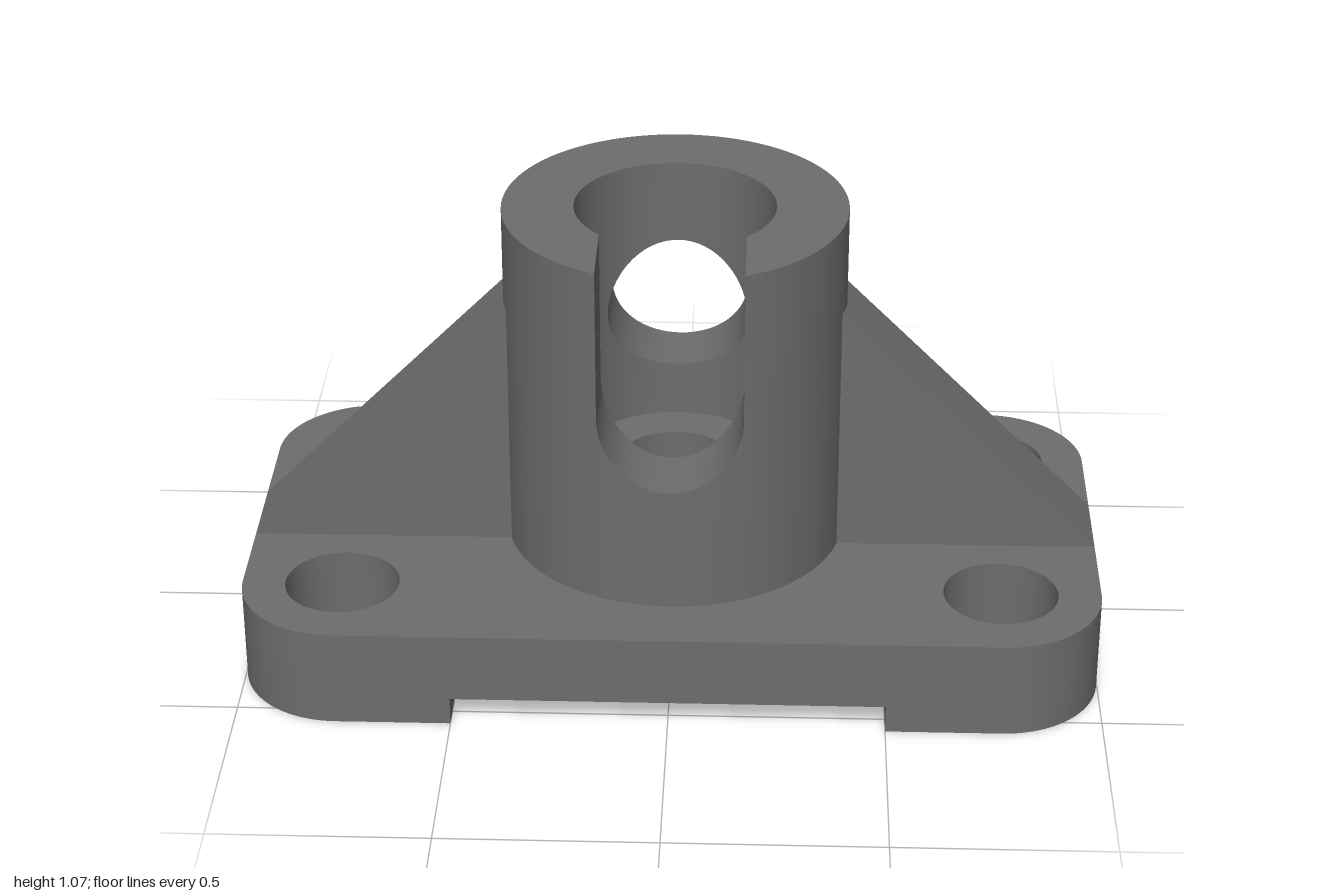
import * as THREE from 'three';
import { toCreasedNormals } from 'three/addons/utils/BufferGeometryUtils.js';

const UNIT = 1 / 60; // dimensions below are in millimetre-like steps
const BASE_TOP = 14, CHANNEL = 4, FLOOR = 24, TOP = 64;
const R_OUT = 24, R_IN = 14, R_BOLT = 8;
const CROSS_Y = 42, CROSS_R = 10;
const STEPS = 32;

export function createModel() {
  const root = new THREE.Group();
  root.name = 'shaftSupportBracket';
  const material = new THREE.MeshStandardMaterial({ color: 0x6d6d6d });

  const add = (name, geometry) => {
    geometry.scale(UNIT, UNIT, UNIT);
    const mesh = new THREE.Mesh(toCreasedNormals(geometry, 0.5), material);
    mesh.name = name;
    root.add(mesh);
  };
  const hole = (x, y) => new THREE.Path().absarc(x, y, R_BOLT, 0, Math.PI * 2, true);
  // Extrude a plan shape upwards between two heights
  const slab = (shape, y0, y1) => new THREE.ExtrudeGeometry(shape, {
    depth: y1 - y0, bevelEnabled: false, curveSegments: 24,
  }).rotateX(-Math.PI / 2).translate(0, y0, 0);

  // Base: two rounded feet with bolt holes, and a raised middle over the channel
  for (const side of [1, -1]) {
    const foot = new THREE.Shape();
    foot.moveTo(30, -33);
    foot.lineTo(46, -33);
    foot.absarc(46, -19, 14, -Math.PI / 2, 0, false);
    foot.lineTo(60, 19);
    foot.absarc(46, 19, 14, 0, Math.PI / 2, false);
    foot.lineTo(30, 33);
    foot.holes.push(hole(46, 19), hole(46, -19));
    const geometry = slab(foot, 0, BASE_TOP);
    if (side < 0) geometry.rotateY(Math.PI);
    add(side > 0 ? 'leftFoot' : 'rightFoot', geometry);
  }
  const middle = new THREE.Shape([[-30, -33], [30, -33], [30, 33], [-30, 33]]
    .map(([x, y]) => new THREE.Vector2(x, y)));
  middle.holes.push(hole(0, 0));
  add('basePlate', slab(middle, CHANNEL, BASE_TOP));

  // Sloping ribs, running slightly into the tower wall
  for (const side of [1, -1]) {
    const rib = new THREE.Shape([[60, 14], [22, 52], [22, 14]]
      .map(([x, y]) => new THREE.Vector2(x, y)));
    const geometry = new THREE.ExtrudeGeometry(rib, { depth: 12, bevelEnabled: false })
      .translate(0, 0, -6);
    if (side < 0) geometry.rotateY(Math.PI);
    add(side > 0 ? 'leftRib' : 'rightRib', geometry);
  }

  add('towerWall', towerWall());

  // Floor of the bore with the smaller hole below it
  add('boreFloor', new THREE.LatheGeometry([
    new THREE.Vector2(R_IN, FLOOR),
    new THREE.Vector2(R_BOLT, FLOOR),
    new THREE.Vector2(R_BOLT, BASE_TOP),
  ], 96));

  return root;
}

// Tube wall swept around y in four sectors, cut by the cross hole and front slot
function towerWall() {
  const positions = [];
  const quad = (a, b, c, d) => positions.push(...a, ...b, ...c, ...a, ...c, ...d);
  const at = (r, angle, y) => [r * Math.sin(angle), y, r * Math.cos(angle)];

  // column(t) gives outer and inner angles and the heights of the wall there
  const sector = (column, openBottom) => {
    for (let i = 0; i < STEPS; i++) {
      const [p, q] = [column(i / STEPS), column((i + 1) / STEPS)].map((c) => ({
        outLow: at(R_OUT, c.out, c.low ?? BASE_TOP), outHigh: at(R_OUT, c.out, c.high),
        inLow: at(R_IN, c.inn, c.low ?? FLOOR), inHigh: at(R_IN, c.inn, c.high),
      }));
      quad(p.outLow, q.outLow, q.outHigh, p.outHigh);
      quad(q.inLow, p.inLow, p.inHigh, q.inHigh);
      quad(p.outHigh, q.outHigh, q.inHigh, p.inHigh);
      if (openBottom) quad(p.inLow, q.inLow, q.outLow, p.outLow);
    }
  };
  const outEdge = Math.asin(CROSS_R / R_OUT), inEdge = Math.asin(CROSS_R / R_IN);

  // Full-height side sectors
  for (const turn of [0, Math.PI]) {
    sector((t) => ({
      out: turn + outEdge + t * (Math.PI - 2 * outEdge),
      inn: turn + inEdge + t * (Math.PI - 2 * inEdge),
      high: TOP,
    }));
  }
  // Front and back sectors following the round cross hole
  const cut = (turn, t) => {
    const a = (t - 0.5) * Math.PI, x = CROSS_R * Math.sin(a);
    return {
      out: turn + Math.asin(x / R_OUT), inn: turn + Math.asin(x / R_IN),
      rise: CROSS_R * Math.cos(a),
    };
  };
  for (const turn of [0, Math.PI]) {
    sector((t) => {
      const c = cut(turn, t);
      return { ...c, high: CROSS_Y - c.rise };
    });
  }
  sector((t) => {
    const c = cut(Math.PI, t);
    return { ...c, low: CROSS_Y + c.rise, high: TOP };
  }, true);

  // Flat cheeks of the front slot
  for (const side of [1, -1]) {
    const corners = [
      at(R_IN, side * inEdge, CROSS_Y), at(R_OUT, side * outEdge, CROSS_Y),
      at(R_OUT, side * outEdge, TOP), at(R_IN, side * inEdge, TOP),
    ];
    quad(...(side > 0 ? corners : corners.reverse()));
  }

  const geometry = new THREE.BufferGeometry();
  geometry.setAttribute('position', new THREE.Float32BufferAttribute(positions, 3));
  return geometry;
}
